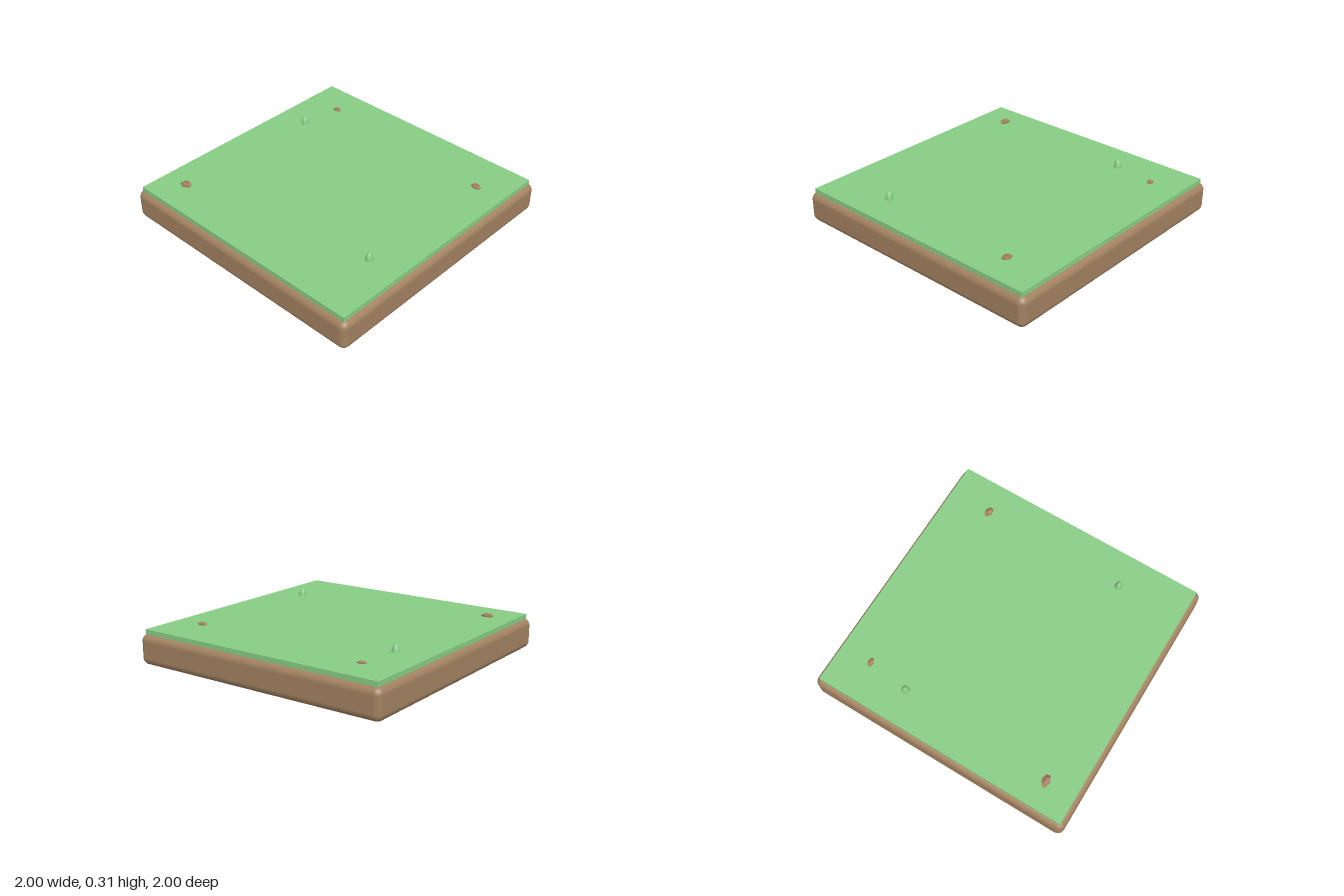
import * as THREE from 'three';
import { RoundedBoxGeometry } from 'three/addons/geometries/RoundedBoxGeometry.js';

export function createModel() {
  const model = new THREE.Group();
  model.name = 'groundTile';

  const material = (name, color) => {
    const m = new THREE.MeshStandardMaterial({ color });
    m.name = name;
    return m;
  };
  const soil = material('soil brown', 0xa28160);
  const grass = material('grass green', 0x88cc85);
  const stone = material('stone brown', 0xa07a5c);
  stone.flatShading = true;

  const add = (name, geometry, mat, x, y, z) => {
    const mesh = new THREE.Mesh(geometry, mat);
    mesh.name = name;
    mesh.position.set(x, y, z);
    model.add(mesh);
    return mesh;
  };

  // Soil slab with softened edges, and the turf sheet lying on it
  add('soilSlab', new RoundedBoxGeometry(2, 0.22, 2, 3, 0.05), soil, 0, 0.11, 0);
  add('turf', new THREE.BoxGeometry(1.935, 0.04, 1.935), grass, 0, 0.232, 0);

  // Pointed tufts with slightly bulging sides
  const profile = [[0.029, 0], [0.026, 0.02], [0.02, 0.038], [0.011, 0.053], [0, 0.062]]
    .map(([r, y]) => new THREE.Vector2(r, y));
  const tuft = new THREE.LatheGeometry(profile, 16);
  [[-0.725, -0.41], [0.72, 0.465]].forEach(([x, z]) => {
    add('grassTuft', tuft, grass, x, 0.25, z);
  });

  // Flattened faceted stones, half sunk into the turf: x, z, width, height, depth, turn
  [
    [-0.683, -0.727, 0.034, 0.016, 0.025, 0.1],
    [0.74, -0.642, 0.041, 0.018, 0.031, -0.15],
    [-0.767, 0.74, 0.048, 0.024, 0.035, 0.1],
  ].forEach(([x, z, w, h, d, turn]) => {
    const rock = add('rock', new THREE.DodecahedronGeometry(1, 0), stone, x, 0.252, z);
    rock.scale.set(w, h, d);
    rock.rotation.y = turn;
  });

  return model;
}
